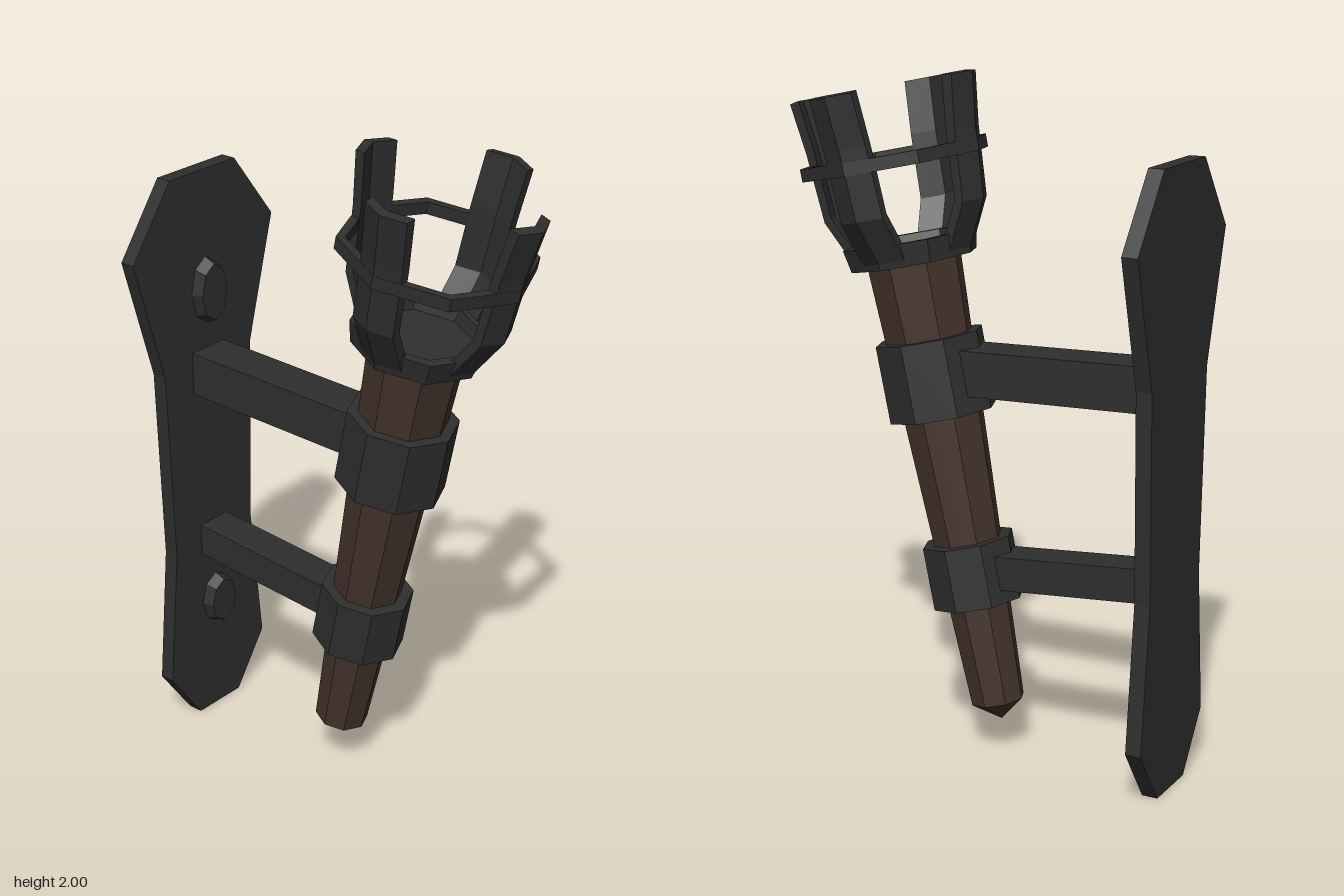
import * as THREE from 'three';

const metal = new THREE.MeshStandardMaterial({ color: 0x2e2e2e });
metal.name = 'dark iron';
const wood = new THREE.MeshStandardMaterial({ color: 0x43322a });
wood.name = 'brown wood';

// Faceted mesh: every triangle gets its own flat normal
function part(name, geometry, material, parent) {
  const g = geometry.index ? geometry.toNonIndexed() : geometry;
  g.computeVertexNormals();
  const mesh = new THREE.Mesh(g, material);
  mesh.name = name;
  parent.add(mesh);
  return mesh;
}

const points = (list) => list.map(([x, y]) => new THREE.Vector2(x, y));

// Eight-sided turned shape, profile given as [radius, height] from the bottom up
const turned = (profile) => new THREE.LatheGeometry(points(profile), 8);

const band = (inner, outer, low, high) =>
  turned([[inner, low], [outer, low], [outer, high], [inner, high], [inner, low]]);

// Prong: extruded side profile, folded along its middle to follow the octagon
function prongGeometry() {
  const outline = new THREE.Shape(points([
    [0.185, 1.39], [0.262, 1.53], [0.278, 1.73], [0.3, 1.88],
    [0.27, 1.885], [0.25, 1.73], [0.237, 1.54], [0.17, 1.42],
  ]));
  const width = 0.138;
  const g = new THREE.ExtrudeGeometry(outline, { depth: width, steps: 2, bevelEnabled: false });
  g.translate(0, 0, -width / 2);
  const p = g.attributes.position;
  for (let i = 0; i < p.count; i++) {
    p.setX(i, p.getX(i) - Math.abs(p.getZ(i)) * Math.tan(Math.PI / 8));
  }
  return g;
}

function buildTorch() {
  const torch = new THREE.Group();
  torch.name = 'torch';

  part('shaft', turned([[0, 0], [0.08, 0.06], [0.14, 1.4], [0, 1.4]]), wood, torch);
  part('lowerCollar', band(0.08, 0.137, 0.367, 0.553), metal, torch);
  part('upperCollar', band(0.1, 0.16, 0.933, 1.16), metal, torch);

  // Shallow cup at the head
  part('cup', turned([
    [0.1, 1.382], [0.187, 1.382], [0.2, 1.448], [0.168, 1.448], [0.158, 1.41], [0, 1.41],
  ]), metal, torch);

  // Cage: four prongs joined by a ring
  for (let i = 0; i < 4; i++) {
    part('prong', prongGeometry(), metal, torch).rotation.y = i * Math.PI / 2;
  }
  part('cageRing', band(0.25, 0.276, 1.66, 1.697), metal, torch);

  torch.position.set(-0.07, 0.1, 0);
  torch.rotation.z = -THREE.MathUtils.degToRad(12);
  return torch;
}

// Bar from the wall plate to a collar, given the centre heights at both ends
function addBracket(name, x1, y0, y1, height, width, parent) {
  const x0 = -0.58;
  const g = new THREE.BoxGeometry(Math.hypot(x1 - x0, y1 - y0), height, width);
  const bar = part(name, g, metal, parent);
  bar.position.set((x0 + x1) / 2, (y0 + y1) / 2, 0);
  bar.rotation.z = Math.atan2(y1 - y0, x1 - x0);
}

export function createModel() {
  const model = new THREE.Group();
  model.name = 'wallTorch';

  // Wall plate, outline mirrored across its middle
  const half = [[0.09, 0], [0.21, 0.17], [0.168, 0.6], [0.185, 1.2], [0.292, 1.58], [0.135, 1.79]];
  const mirrored = half.map(([z, y]) => [-z, y]).reverse();
  const plate = new THREE.ExtrudeGeometry(new THREE.Shape(points([...half, ...mirrored])),
    { depth: 0.047, bevelEnabled: false });
  plate.rotateY(Math.PI / 2);
  plate.translate(-0.617, 0, 0);
  part('wallPlate', plate, metal, model);

  // Long bolt heads
  for (const [y, size] of [[1.422, 0.104], [0.385, 0.086]]) {
    const g = new THREE.CylinderGeometry(0.85, 1, 0.037, 8);
    g.rotateZ(-Math.PI / 2);
    g.scale(1, size, 0.062);
    part('boltHead', g, metal, model).position.set(-0.553, y, 0);
  }

  addBracket('upperBracket', 0.06, 1.174, 1.153, 0.132, 0.136, model);
  addBracket('lowerBracket', -0.02, 0.612, 0.566, 0.1, 0.116, model);

  model.add(buildTorch());
  return model;
}
